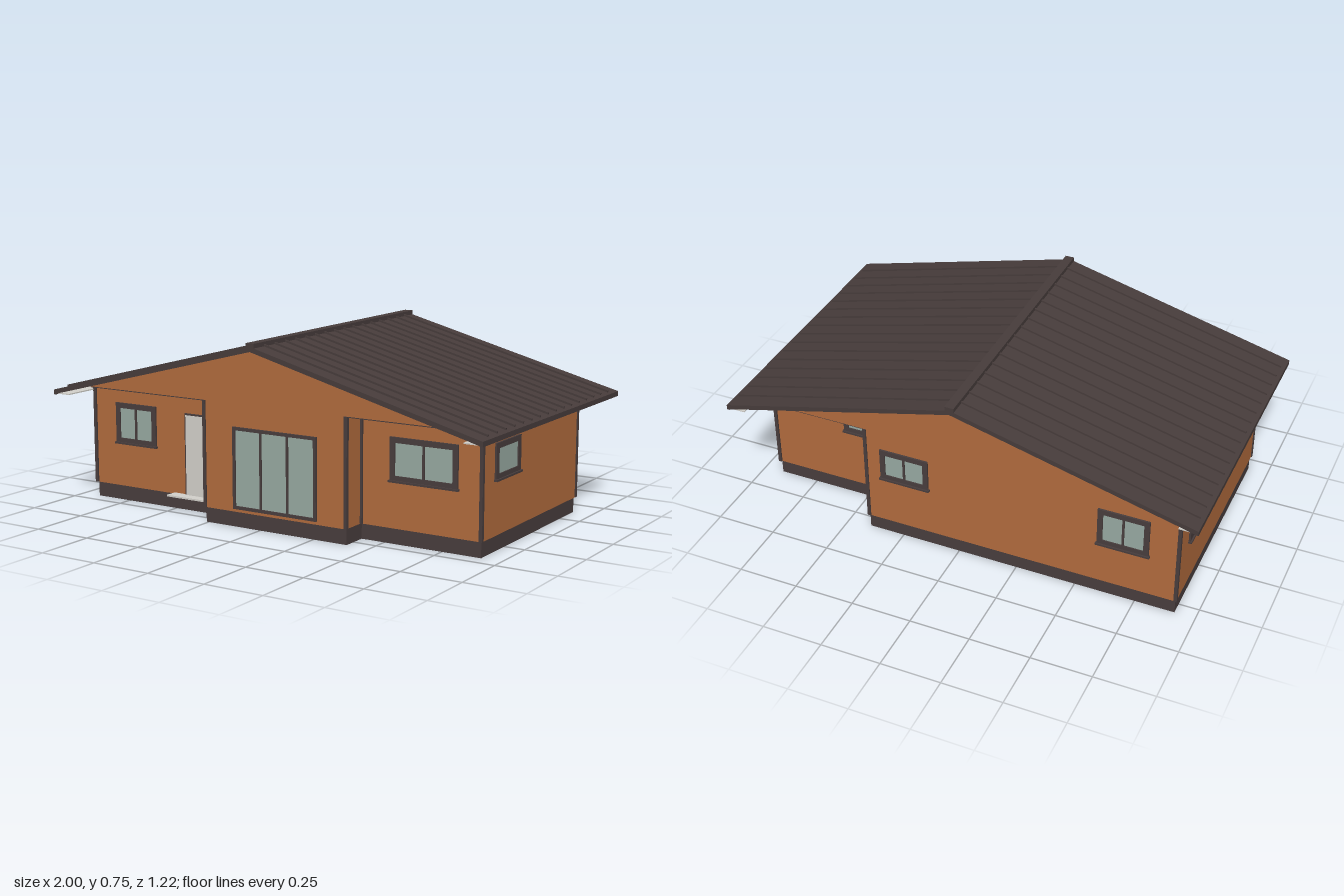
import * as THREE from 'three';

const mat = (name, color) => Object.assign(new THREE.MeshStandardMaterial({ color }), { name });

export function createModel() {
  const house = new THREE.Group();
  house.name = 'house';
  const wall = mat('orange wall', 0xb16b3d);
  const trim = mat('dark trim', 0x483d3d);
  const roofMat = mat('roof metal', 0x473c3b);
  const glass = mat('window glass', 0x97a9a1);
  const light = mat('light grey', 0xd2d0ca);

  const add = (name, geo, material, parent = house) => {
    const m = new THREE.Mesh(geo, material);
    m.name = name;
    parent.add(m);
    return m;
  };
  // Box given by its limits on each axis
  const box = (name, x0, x1, y0, y1, z0, z1, material, parent) => {
    const m = add(name, new THREE.BoxGeometry(x1 - x0, y1 - y0, z1 - z0), material, parent);
    m.position.set((x0 + x1) / 2, (y0 + y1) / 2, (z0 + z1) / 2);
    return m;
  };
  // Outline in x,y pushed from z0 to z1
  const slab = (name, pts, z0, z1, material) => {
    const shape = new THREE.Shape(pts.map(p => new THREE.Vector2(p[0], p[1])));
    const m = add(name, new THREE.ExtrudeGeometry(shape, { depth: z1 - z0, bevelEnabled: false }), material);
    m.position.z = z0;
    return m;
  };

  const slope = 0.258, ridgeY = 0.735, thick = 0.02;
  const under = x => ridgeY - thick - slope * Math.abs(x);
  const topY = 0.497, kneeX = (ridgeY - thick - topY) / slope;

  // Stepped footprint: x range and z range of each wing
  const wings = [
    ['leftWing', 0.4, 0.92, -0.385, 0.447],
    ['middleWing', -0.26, 0.4, -0.557, 0.557],
    ['rightWing', -0.92, -0.26, -0.557, 0.443],
  ];
  for (const [name, x0, x1, z0, z1] of wings) {
    const pts = [[x0, 0.062], [x1, 0.062]];
    if (x1 > kneeX) pts.push([x1, under(x1)], [kneeX, topY]);
    else pts.push([x1, topY]);
    if (x0 < -kneeX) pts.push([-kneeX, topY], [x0, under(x0)]);
    else pts.push([x0, topY]);
    slab(name, pts, z0, z1, wall);
    box(name + 'Foundation', Math.max(x0, -0.915), Math.min(x1, 0.915), 0, 0.062,
      z0 + 0.006, z1 - 0.006, trim);
  }

  // Gable spanning the whole depth, with dark ceilings over the recesses
  slab('gable', [[-kneeX, topY], [kneeX, topY], [0, ridgeY - thick]], -0.557, 0.557, wall);
  box('frontLeftCeiling', 0.4, kneeX, topY - 0.004, topY, 0.447, 0.555, trim);
  box('frontRightCeiling', -kneeX, -0.26, topY - 0.004, topY, 0.443, 0.555, trim);
  box('backCeiling', 0.4, kneeX, topY - 0.004, topY, -0.555, -0.385, trim);

  // Corner posts, outer and inner
  const corners = [
    [0.917, 0.447], [0.917, -0.385], [0.4, 0.555], [0.4, -0.555], [-0.26, 0.555],
    [-0.917, 0.443], [-0.917, -0.555], [0.402, 0.449], [0.402, -0.387], [-0.262, 0.445],
  ];
  for (const [x, z] of corners)
    box('cornerPost', x - 0.007, x + 0.007, 0.063, Math.min(topY, under(x) + 0.004), z - 0.007, z + 0.007, trim);

  // Roof halves with standing seams, eave boards and eave soffits
  const angle = Math.atan(slope), halfZ = 0.61;
  for (const s of [1, -1]) {
    slab('roofPanel', [[0, ridgeY], [0, ridgeY - thick], [s, ridgeY - thick - slope], [s, ridgeY - slope]],
      -halfZ, halfZ, roofMat);
    for (let i = 1; i < 17; i++) {
      const seam = add('roofSeam', new THREE.BoxGeometry(1.0, 0.012, 0.007), roofMat);
      seam.position.set(s * 0.5, ridgeY - slope * 0.5 + 0.002, -halfZ + (i * 2 * halfZ) / 17);
      seam.rotation.z = -s * angle;
    }
    const span = (a, b) => (s > 0 ? [a, b] : [-b, -a]);
    box('eaveBoard', ...span(0.988, 1), 0.457, ridgeY - slope, -halfZ, halfZ, trim);
    box('eaveSoffit', ...span(0.921, 0.988), 0.46, 0.465, -halfZ + 0.005, halfZ - 0.005, light);
  }
  box('ridgeCap', -0.019, 0.019, 0.725, 0.748, -halfZ, halfZ, roofMat);

  // Framed glazing centred on u, with its back on the wall plane
  const rect = (Type, x0, x1, y0, y1) => new Type([
    new THREE.Vector2(x0, y0), new THREE.Vector2(x1, y0), new THREE.Vector2(x1, y1), new THREE.Vector2(x0, y1)]);
  const glazing = (name, width, y0, y1, panes, pos, turn, border = 0.022, sill = true) => {
    const g = new THREE.Group();
    g.name = name;
    const w = width / 2, gap = 0.009;
    const frame = rect(THREE.Shape, -w, w, y0, y1);
    const paneW = (width - 2 * border - gap * (panes - 1)) / panes;
    for (let i = 0; i < panes; i++) {
      const a = -w + border + i * (paneW + gap);
      frame.holes.push(rect(THREE.Path, a, a + paneW, y0 + border, y1 - border));
      box('pane', a, a + paneW, y0 + border, y1 - border, 0, 0.003, glass, g);
    }
    add('frame', new THREE.ExtrudeGeometry(frame, { depth: 0.008, bevelEnabled: false }), trim, g);
    if (sill) box('sill', -w - 0.005, w + 0.005, y0 - 0.004, y0 + 0.004, 0, 0.014, trim, g);
    g.position.set(pos[0], 0, pos[1]);
    g.rotation.y = turn;
    house.add(g);
  };
  const H = Math.PI / 2;
  glazing('frontRightWindow', 0.21, 0.247, 0.418, 2, [-0.697, 0.443], 0);
  glazing('frontLeftWindow', 0.29, 0.247, 0.418, 2, [0.675, 0.447], 0);
  glazing('patioDoor', 0.39, 0.075, 0.405, 3, [0.075, 0.557], 0, 0.013, false);
  glazing('leftSideWindow', 0.205, 0.277, 0.418, 1, [0.92, 0.25], H);
  glazing('rightSideFrontWindow', 0.205, 0.25, 0.418, 2, [-0.92, 0.265], -H);
  glazing('rightSideBackWindow', 0.205, 0.277, 0.418, 1, [-0.92, -0.345], -H);
  glazing('backMiddleWindow', 0.21, 0.277, 0.418, 2, [0.23, -0.557], 2 * H);
  glazing('backRightWindow', 0.21, 0.25, 0.418, 2, [-0.695, -0.557], 2 * H);
  glazing('backSmallWindow', 0.11, 0.32, 0.418, 1, [0.535, -0.385], 2 * H);

  // Entrance door with frame, handle and step
  const dz = 0.443;
  box('doorFrame', -0.443, -0.297, 0.063, 0.407, dz, dz + 0.006, trim);
  box('doorLeaf', -0.436, -0.304, 0.066, 0.4, dz, dz + 0.009, light);
  box('doorHandle', -0.336, -0.316, 0.228, 0.232, dz + 0.009, dz + 0.015, trim);
  box('doorStep', -0.505, -0.265, 0.06, 0.067, dz, dz + 0.05, light);

  return house;
}
